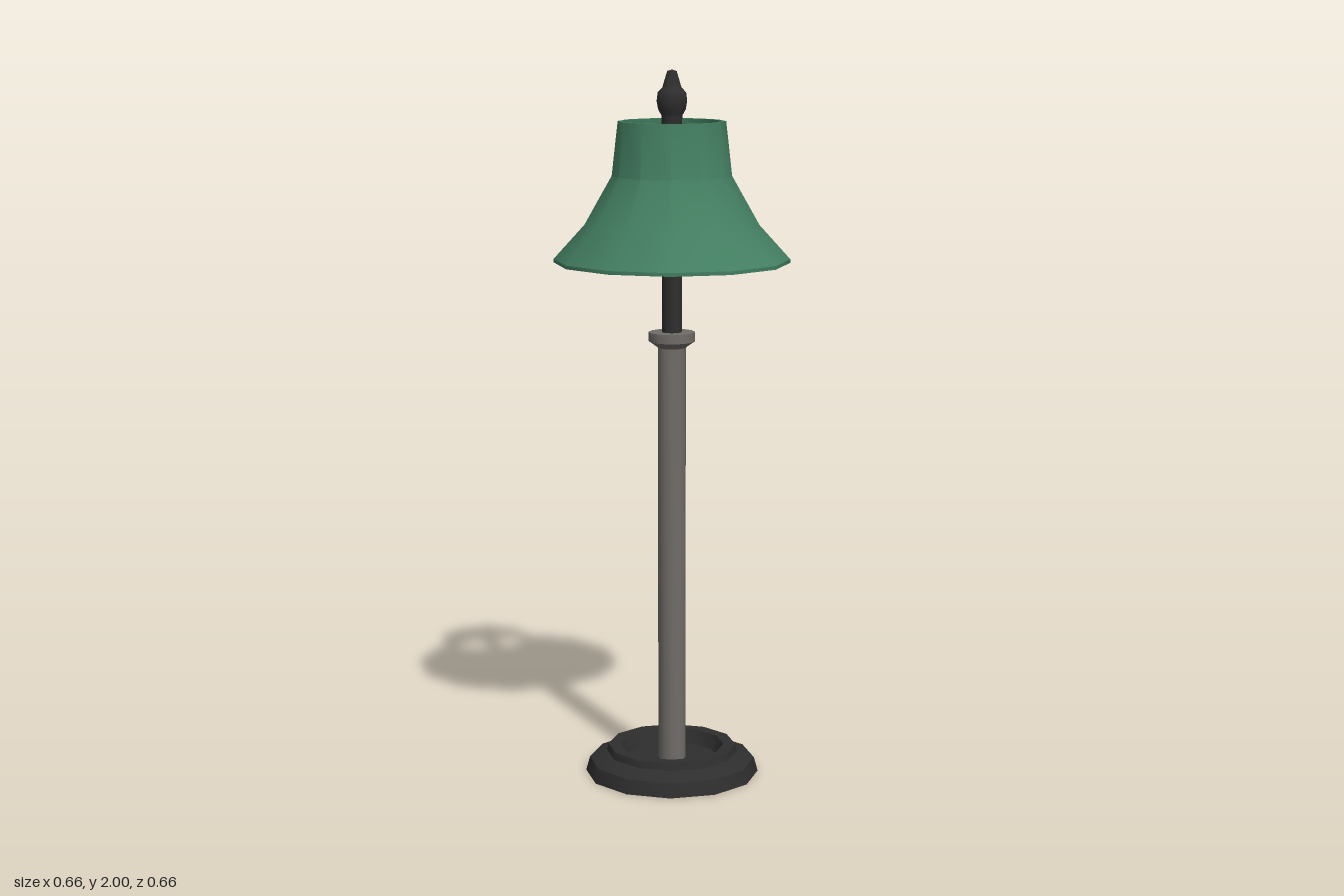
import * as THREE from 'three';
import { toCreasedNormals } from 'three/addons/utils/BufferGeometryUtils.js';

const SIDES = 12;

export function createModel() {
  const lamp = new THREE.Group();
  lamp.name = 'tableLamp';

  const material = (name, color) => {
    const m = new THREE.MeshStandardMaterial({ color, side: THREE.DoubleSide });
    m.name = name;
    return m;
  };
  const green = material('shadeGreen', 0x437e61);
  const grey = material('pewterGrey', 0x706c68);
  const black = material('ironBlack', 0x2e2e2e);

  // Turned part from [radius, height] pairs, listed upwards along the outside
  const turned = (name, mat, profile, sides = SIDES) => {
    const points = profile.map(([r, y]) => new THREE.Vector2(r, y));
    const geometry = toCreasedNormals(new THREE.LatheGeometry(points, sides), 0.62);
    const mesh = new THREE.Mesh(geometry, mat);
    mesh.name = name;
    lamp.add(mesh);
  };

  // Stepped foot, a hollow shell with a dished top
  turned('base', black, [
    [0.247, 0], [0.236, 0.04], [0.2, 0.056], [0.187, 0.06],
    [0.182, 0.08], [0.148, 0.08], [0.132, 0.04], [0, 0.04],
  ]);

  // Column with its flared collar
  turned('column', grey, [[0, 0.03], [0.039, 0.03], [0.039, 1.24]]);
  turned('collar', grey, [[0.039, 1.232], [0.065, 1.25], [0.065, 1.276], [0, 1.276]]);

  // Upper rod and finial
  turned('rod', black, [[0.028, 1.27], [0.028, 1.87]]);
  turned('finial', black, [
    [0.028, 1.86], [0.029, 1.876], [0.038, 1.892], [0.042, 1.915],
    [0.039, 1.938], [0.026, 1.952], [0.022, 1.966], [0.013, 1.996], [0, 2],
  ]);

  // Bell shade with outer wall, top lip and inner wall
  const outer = [[0.328, 1.47], [0.328, 1.48], [0.242, 1.575], [0.166, 1.71], [0.149, 1.86]];
  const inner = [[0.138, 1.86], [0.155, 1.708], [0.231, 1.569], [0.317, 1.47]];
  turned('shade', green, [...outer, ...inner, outer[0]]);

  return lamp;
}
